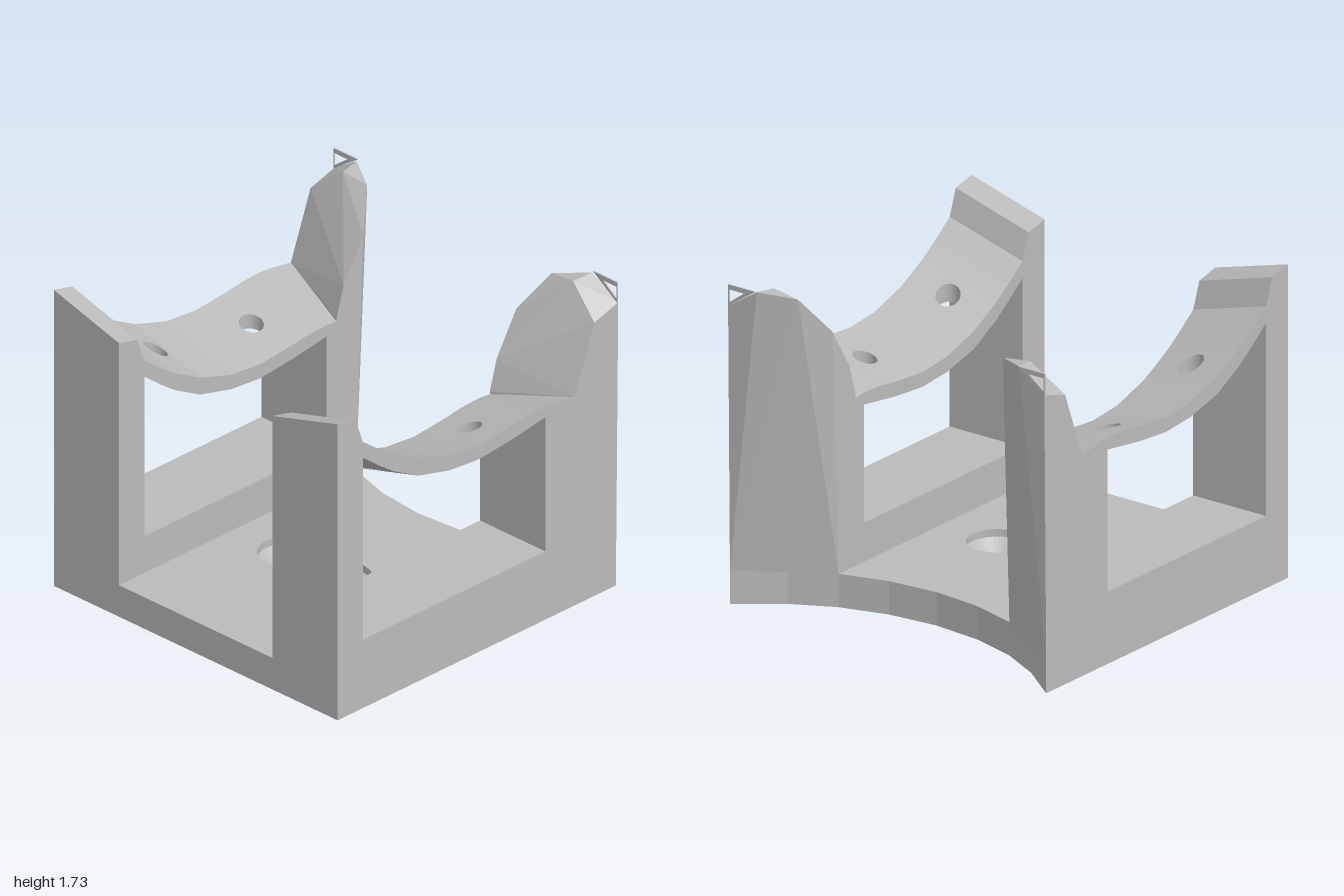
import * as THREE from 'three';
import { ConvexGeometry } from 'three/addons/geometries/ConvexGeometry.js';

const INNER = 0.54, WIDTH = 1 - INNER;
const grey = new THREE.MeshStandardMaterial({ color: 0xbababa });
grey.name = 'plain grey';

const v2 = (pts) => pts.map(([x, y]) => new THREE.Vector2(x, y));

function circleHole(x, y, r) {
  const path = new THREE.Path();
  path.absarc(x, y, r, 0, Math.PI * 2, true);
  return path;
}

// Height on a polyline of [z, y] points, with z falling
function heightAt(line, z) {
  for (let i = 1; i < line.length; i++) {
    const [z0, y0] = line[i - 1], [z1, y1] = line[i];
    if (z >= z1 - 1e-6) return y0 + (y1 - y0) * (z0 - z) / (z0 - z1);
  }
  return line[line.length - 1][1];
}

// The cradle tops fall toward the middle of the model
const tilt = (x) => (x - 1) * 0.28;

function editVertices(geo, rule) {
  const p = geo.attributes.position, v = new THREE.Vector3();
  for (let i = 0; i < p.count; i++) {
    rule(v.fromBufferAttribute(p, i));
    p.setXYZ(i, v.x, v.y, v.z);
  }
  geo.computeVertexNormals();
  return geo;
}

// Mirror across x = 0 and restore the corner order
function mirrored(geo) {
  const g = geo.clone(), p = g.attributes.position, a = new THREE.Vector3(), b = new THREE.Vector3();
  g.scale(-1, 1, 1);
  for (let i = 0; i < p.count; i += 3) {
    a.fromBufferAttribute(p, i + 1);
    b.fromBufferAttribute(p, i + 2);
    p.setXYZ(i + 1, b.x, b.y, b.z);
    p.setXYZ(i + 2, a.x, a.y, a.z);
  }
  g.computeVertexNormals();
  return g;
}

// Plan shape (x, -z) extruded upward
function slab(shape, y, height) {
  const g = new THREE.ExtrudeGeometry(shape, { depth: height, bevelEnabled: false, curveSegments: 20 });
  return g.rotateX(-Math.PI / 2).translate(0, y, 0);
}

export function createModel() {
  const model = new THREE.Group();
  model.name = 'cradleStand';
  const add = (name, geo, parent = model) => {
    const mesh = new THREE.Mesh(geo, grey);
    mesh.name = name;
    parent.add(mesh);
    return mesh;
  };

  // Base plate with concave back edge and two screw holes
  const half = [[0.28, 0.615], [0.54, 0.69], [0.77, 0.81], [1, 0.985]];
  const outline = [[-1, -1], [1, -1], ...half.slice().reverse(), [0, 0.588],
    ...half.map(([x, y]) => [-x, y])];
  const holeX = 0.182, holeZ = 0.152;
  const plate = (r) => {
    const s = new THREE.Shape(v2(outline));
    for (const side of [-1, 1]) s.holes.push(circleHole(side * holeX, -holeZ, r));
    return s;
  };
  add('basePlateBottom', slab(plate(0.065), 0, 0.02));
  add('basePlate', slab(plate(0.16), 0.02, 0.16));
  for (const side of [-1, 1]) {
    const sink = new THREE.LatheGeometry(v2([[0.16, 0.14], [0.065, 0.07], [0.065, 0.0]]), 40).toNonIndexed();
    sink.computeVertexNormals();
    add('countersink', sink).position.set(side * holeX, 0, holeZ);
  }

  // Side frame: front post, lower rail and rear column in one profile
  const profile = [[1, 0.18], [1, 1.69], [0.87, 1.66], [0.82, 1.52], [0.82, 0.39],
    [-0.48, 0.39], [-0.48, 1.22], [-0.57, 1.21], [-0.69, 1.19], [-0.69, 0.18]];
  const frame = new THREE.ExtrudeGeometry(new THREE.Shape(v2(profile.map(([z, y]) => [-z, y]))),
    { depth: WIDTH, bevelEnabled: false });
  frame.rotateY(Math.PI / 2).translate(INNER, 0, 0);
  editVertices(frame, (v) => { if (v.y > 1) v.y += tilt(v.x); });

  // Curved cradle strap, made of flat panels
  const top = [[0.82, 1.52], [0.7, 1.43], [0.55, 1.33], [0.38, 1.25], [0.2, 1.2], [0, 1.18],
    [-0.2, 1.195], [-0.35, 1.215], [-0.48, 1.22]];
  const under = [[0.82, 1.43], [0.64, 1.29], [0.45, 1.18], [0.23, 1.12], [0, 1.1],
    [-0.2, 1.115], [-0.48, 1.155]];
  const knots = [0.82, 0.7, 0.6, 0.42, 0.2, 0, -0.1, -0.25, -0.35, -0.48];
  const strapHoles = [0.508, -0.175];
  const panels = [];
  for (let i = 1; i < knots.length; i++) {
    const a = knots[i - 1], b = knots[i];
    const s = new THREE.Shape(v2([[INNER, -a], [1, -a], [1, -b], [INNER, -b]]));
    for (const z of strapHoles) if (z < a && z > b) s.holes.push(circleHole(0.77, -z, 0.063));
    const line = (curve, z) => {
      const t = (a - z) / (a - b);
      return heightAt(curve, a) * (1 - t) + heightAt(curve, b) * t;
    };
    panels.push(editVertices(slab(s, 0, 1), (v) => {
      v.y = line(v.y > 0.5 ? top : under, v.z) + tilt(v.x);
    }));
  }

  // Faceted rear horn, leaning outward toward its tip
  const horn = new ConvexGeometry([
    [0.54, 0.18, -0.55], [1, 0.18, -0.69], [0.54, 0.18, -0.69], [1, 0.18, -0.985],
    [0.54, 1.1, -0.55], [1, 1.19, -0.69], [0.54, 1.27, -0.6], [0.54, 1.5, -0.74],
    [0.65, 1.69, -0.88], [0.81, 1.71, -0.87], [1, 1.56, -0.83],
    [0.83, 1.72, -0.985], [1, 1.61, -1],
  ].map((p) => new THREE.Vector3(...p)));

  // Thin open triangle on the tip of the horn
  const tip = new THREE.Shape(v2([[0.83, 1.725], [1, 1.61], [1, 1.725]]));
  tip.holes.push(new THREE.Path(v2([[0.9, 1.7], [0.994, 1.7], [0.994, 1.63]])));
  const fin = new THREE.ExtrudeGeometry(tip, { depth: 0.008, bevelEnabled: false }).translate(0, 0, -1);

  for (const [side, label] of [[1, 'left'], [-1, 'right']]) {
    const wall = new THREE.Group();
    wall.name = label + 'Wall';
    model.add(wall);
    const place = (name, geo) => add(name, side > 0 ? geo : mirrored(geo), wall);
    place('sideFrame', frame);
    panels.forEach((g) => place('cradleStrapPanel', g));
    place('rearHorn', horn);
    place('hornTipFin', fin);
  }
  return model;
}
